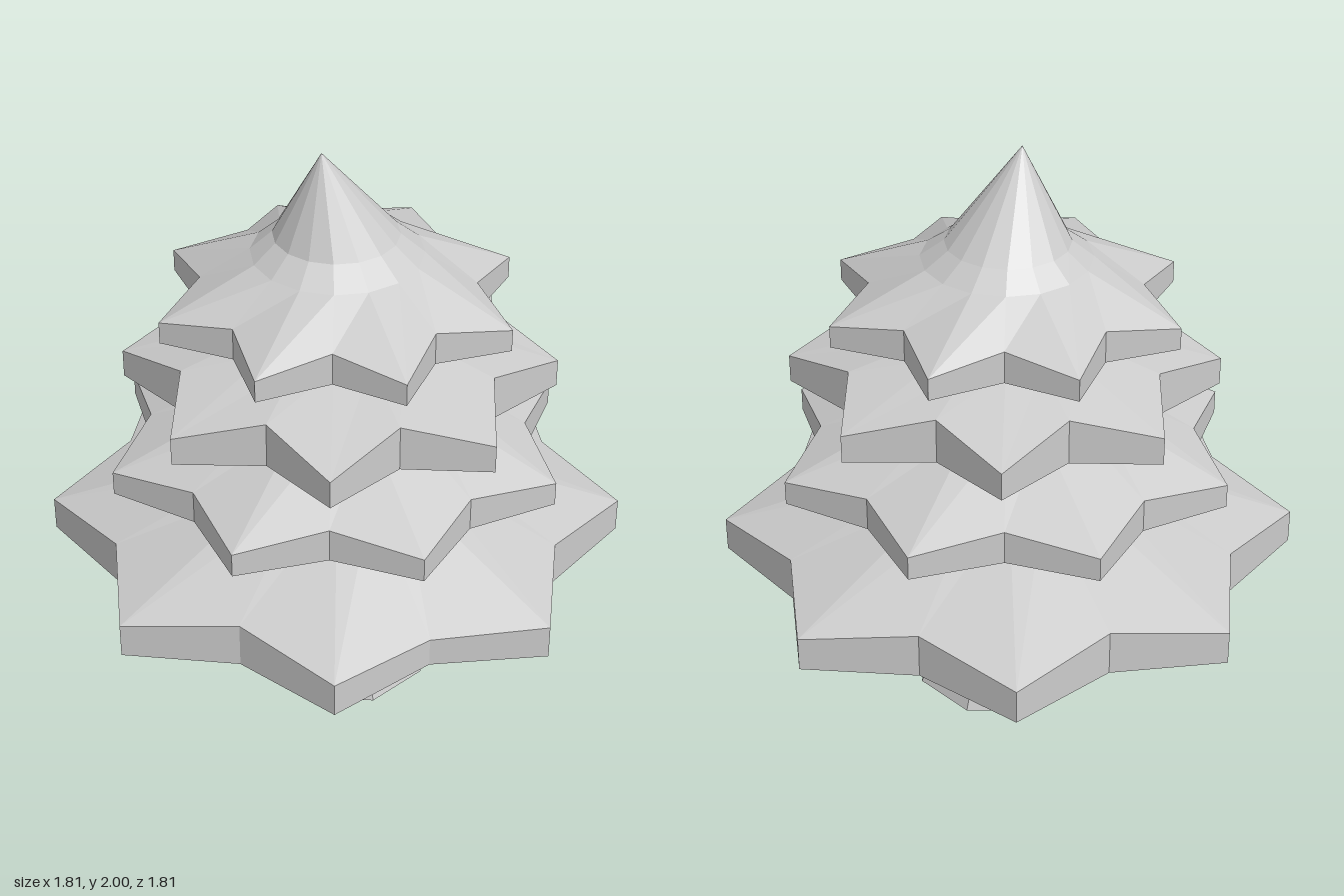
import * as THREE from 'three';

const material = new THREE.MeshStandardMaterial({ color: 0xcccccc, flatShading: true });

// Closed loop of points around (cx, cz); at(i) gives [radius, height] of each point
function loop(count, startDeg, cx, cz, at) {
  return Array.from({ length: count }, (_, i) => {
    const a = THREE.MathUtils.degToRad(startDeg + (360 / count) * i);
    const [r, y] = at(i);
    return [cx + r * Math.cos(a), y, cz + r * Math.sin(a)];
  });
}

// Skin stacked loops, closed by a fan to the base point and one to the tip point
function loft(name, loops, base, tip) {
  const n = loops[0].length;
  const pos = [];
  const tri = (...pts) => pts.forEach((p) => pos.push(...p));
  const last = loops[loops.length - 1];
  for (let i = 0; i < n; i++) {
    const j = (i + 1) % n;
    tri(base, loops[0][i], loops[0][j]);
    for (let k = 0; k < loops.length - 1; k++) {
      const lo = loops[k], hi = loops[k + 1];
      tri(lo[i], hi[i], lo[j]);
      tri(lo[j], hi[i], hi[j]);
    }
    tri(tip, last[j], last[i]);
  }
  const geometry = new THREE.BufferGeometry();
  geometry.setAttribute('position', new THREE.Float32BufferAttribute(pos, 3));
  geometry.computeVertexNormals();
  const mesh = new THREE.Mesh(geometry, material);
  mesh.name = name;
  return mesh;
}

// Eight-pointed skirt of branches: star rim, shoulder ring, neck ring and tip
function branchTier({ name, start, cz, tipR, valleyR, bottom, tipY, valleyY, frontValleyY = valleyY, shoulder, neck, tip }) {
  const star = (i) => (i % 2 ? valleyR : tipR);
  const rimY = (i) => {
    if (i % 2 === 0) return tipY;
    return i === 3 ? frontValleyY : valleyY;
  };
  return loft(name, [
    loop(16, start, 0, cz, (i) => [star(i), bottom]),
    loop(16, start, 0, cz, (i) => [star(i), rimY(i)]),
    loop(16, start, 0, 0.015, () => shoulder),
    loop(16, start, 0, 0.005, () => neck),
  ], [0, bottom, cz], tip);
}

export function createModel() {
  const tree = new THREE.Group();
  tree.name = 'tree';

  // Octagonal trunk, flared at the foot
  tree.add(loft('trunk', [
    loop(8, 0, 0.018, 0.027, () => [0.302, 0]),
    loop(8, 0, 0, 0.027, () => [0.202, 0.31]),
    loop(8, 0, 0, 0.027, () => [0.202, 0.54]),
  ], [0.018, 0, 0.027], [0, 0.54, 0.027]));

  // Branch tiers from the ground up, alternately turned by half a point
  const tiers = [
    { name: 'lowestBranches', start: 20.4, cz: 0, tipR: 0.968, valleyR: 0.787, bottom: 0.525, tipY: 0.642, valleyY: 0.68,
      frontValleyY: 0.625, shoulder: [0.3, 0.87], neck: [0.2, 0.93], tip: [0, 0.96, 0] },
    { name: 'lowerBranches', start: 0, cz: 0.015, tipR: 0.778, valleyR: 0.625, bottom: 0.875, tipY: 0.957, valleyY: 0.99,
      shoulder: [0.3, 1.15], neck: [0.2, 1.21], tip: [0, 1.24, 0] },
    { name: 'upperBranches', start: 22.5, cz: 0.035, tipR: 0.712, valleyR: 0.54, bottom: 1.155, tipY: 1.25, valleyY: 1.31,
      shoulder: [0.3, 1.375], neck: [0.22, 1.43], tip: [0, 1.46, 0] },
    { name: 'topBranches', start: 0, cz: 0.022, tipR: 0.6, valleyR: 0.445, bottom: 1.42, tipY: 1.495, valleyY: 1.53,
      shoulder: [0.28, 1.635], neck: [0.205, 1.695], tip: [-0.06, 2, 0.035] },
  ];
  tiers.forEach((t) => tree.add(branchTier(t)));
  return tree;
}
